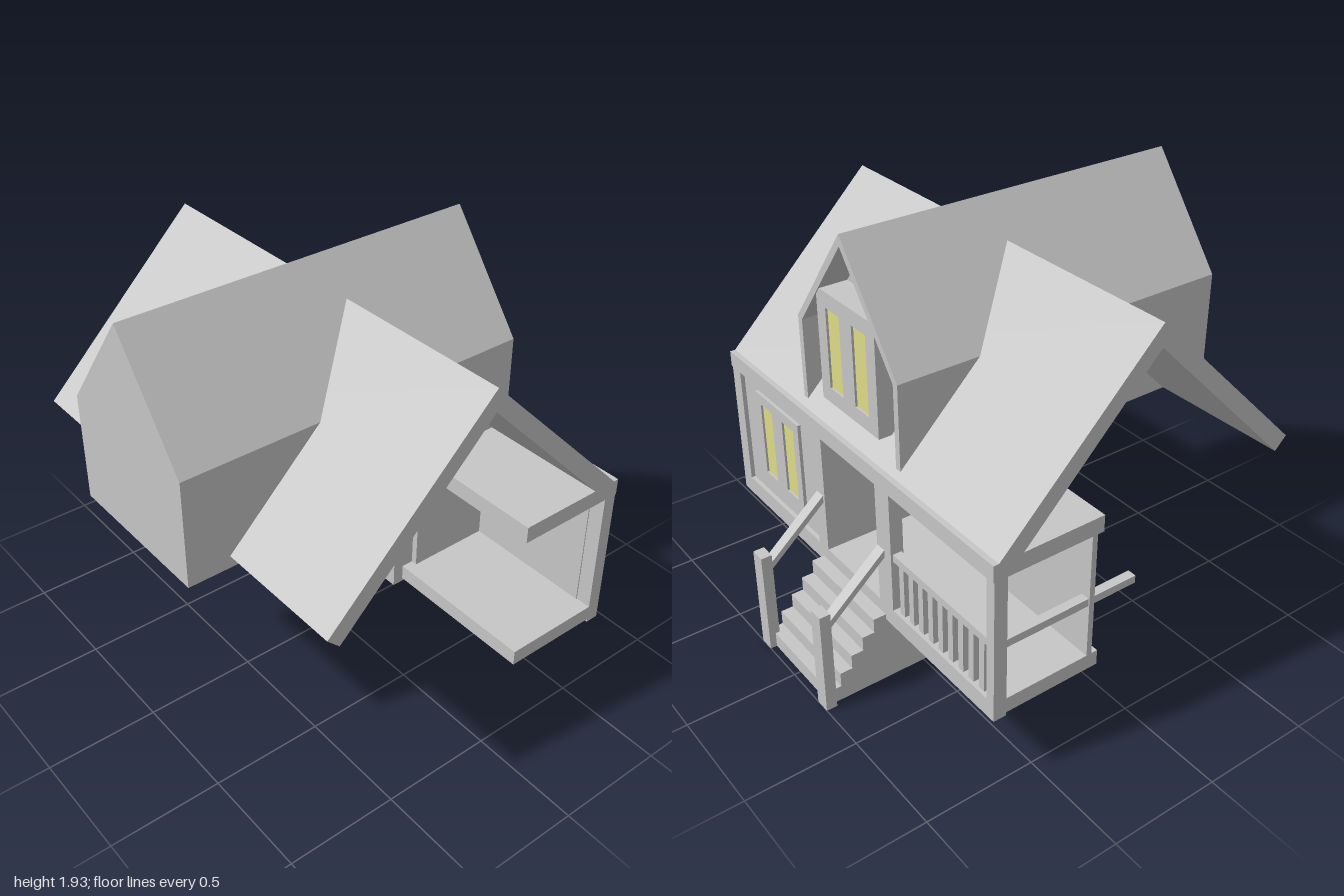
import * as THREE from 'three';

export function createModel() {
  const house = new THREE.Group();
  house.name = 'cabin';
  const plaster = new THREE.MeshStandardMaterial({ color: 0xc6c6c6 });
  plaster.name = 'pale grey';
  const glass = new THREE.MeshStandardMaterial({ color: 0xdedb88 });
  glass.name = 'window yellow';

  const add = (name, geometry, material = plaster) => {
    const mesh = new THREE.Mesh(geometry, material);
    mesh.name = name;
    house.add(mesh);
    return mesh;
  };
  // box from its min and max on each axis
  const box = (name, x0, x1, y0, y1, z0, z1, material) => {
    const g = new THREE.BoxGeometry(x1 - x0, y1 - y0, z1 - z0);
    g.translate((x0 + x1) / 2, (y0 + y1) / 2, (z0 + z1) / 2);
    return add(name, g, material);
  };
  const shapeOf = (pts) => new THREE.Shape(pts.map(([a, b]) => new THREE.Vector2(a, b)));
  // (z, y) profile extruded along x
  const alongX = (name, pts, x0, x1) => {
    const g = new THREE.ExtrudeGeometry(shapeOf(pts), { depth: x1 - x0, bevelEnabled: false });
    g.rotateY(-Math.PI / 2).translate(x1, 0, 0);
    return add(name, g);
  };
  // (x, y) shape extruded along z
  const alongZ = (name, shape, z0, z1) => {
    const g = new THREE.ExtrudeGeometry(shape, { depth: z1 - z0, bevelEnabled: false });
    g.translate(0, 0, z0);
    return add(name, g);
  };

  const L = -0.99, R = 0.985;

  // main roof: bent slab with its ridge along x
  alongX('mainRoof', [
    [0.81, 1.03], [0.06, 1.77], [-0.66, 1.05], [-0.55, 1.05], [0.06, 1.67], [0.755, 0.975],
  ], L, R);

  // cross gable: solid body with an open hood over the rear window
  const mid = 0.03;
  const pentagon = (half, base, eave, peak) => [
    [mid - half, base], [mid + half, base], [mid + half, eave], [mid, peak], [mid - half, eave],
  ];
  const outer = pentagon(0.365, 0.975, 1.455, 1.93);
  alongZ('crossGable', shapeOf(outer), -0.5, 1);
  const hood = shapeOf(outer);
  hood.holes.push(shapeOf(pentagon(0.335, 0.985, 1.445, 1.88)));
  alongZ('gableHood', hood, -0.635, -0.5);
  box('gableCollar', mid - 0.21, mid + 0.21, 1.6, 1.64, -0.62, -0.5);

  // window bay: raised frame with two panes facing the rear
  const windowBay = (name, cx, cy, halfW, halfH, zFace, zBack) => {
    const frame = shapeOf([
      [cx - halfW, cy - halfH], [cx + halfW, cy - halfH],
      [cx + halfW, cy + halfH], [cx - halfW, cy + halfH],
    ]);
    for (const s of [-1, 1]) {
      const x = cx + s * 0.095;
      frame.holes.push(shapeOf([
        [x - 0.05, cy - 0.18], [x - 0.05, cy + 0.18], [x + 0.05, cy + 0.18], [x + 0.05, cy - 0.18],
      ]));
      box(name + 'Pane', x - 0.05, x + 0.05, cy - 0.18, cy + 0.18, zFace + 0.01, zFace + 0.018, glass);
    }
    alongZ(name + 'Frame', frame, zFace, zBack);
  };
  windowBay('gableWindow', mid, 1.39, 0.21, 0.25, -0.63, -0.5);
  windowBay('roomWindow', 0.6, 0.7, 0.19, 0.23, -0.675, -0.62);

  // floor, ceiling and inner walls
  box('floor', L, R, 0.33, 0.4, -0.64, -0.17);
  box('ceiling', L, R, 0.975, 1.05, -0.64, -0.17);
  box('partition', 0.205, 0.28, 0.315, 0.975, -0.68, -0.12);
  box('partitionPanel', 0.28, 0.308, 0.4, 0.975, -0.62, -0.225);
  box('porchWall', L, 0.205, 0.4, 0.975, -0.225, -0.2);

  // rear facade: beams, posts and recessed room wall
  box('sillBeam', L, R, 0.315, 0.4, -0.68, -0.62);
  box('topBeam', L, R, 0.975, 1.05, -0.685, -0.54);
  box('roomPost', 0.915, R, 0.4, 0.975, -0.68, -0.62);
  box('doorPost', -0.31, -0.21, 0.4, 0.975, -0.68, -0.62);
  box('cornerPost', L, -0.945, 0.4, 0.975, -0.68, -0.62);
  box('roomWall', 0.28, 0.915, 0.4, 0.975, -0.66, -0.615);

  // porch railing
  box('porchRail', -0.945, -0.31, 0.645, 0.68, -0.67, -0.63);
  box('sideRail', -0.985, -0.945, 0.645, 0.68, -0.64, 0.015);
  for (let i = 0; i < 9; i++) {
    const x = -0.895 + i * 0.067;
    box('baluster', x - 0.016, x + 0.016, 0.4, 0.645, -0.665, -0.635);
  }

  // stairs: stepped profile on both its upper and lower sides
  const steps = [[-0.62, 0.34]];
  for (let i = 0; i < 5; i++) {
    const z = -0.74 - i * 0.0575, y = 0.34 - i * 0.067;
    steps.push([z, y], [z, i < 4 ? y - 0.067 : 0]);
  }
  steps.push([-0.455, 0]);
  for (let i = 0; i < 4; i++) {
    const z = -0.455 + i * 0.0575, y = (i + 1) * 0.067;
    steps.push([z, y], [z + 0.0575, y]);
  }
  steps.push([-0.225, 0.34]);
  alongX('stairs', steps, -0.25, 0.25);

  // newel posts and sloping handrails
  for (const s of [-1, 1]) {
    const x = s * 0.24 + 0.003;
    box('newelPost', x - 0.035, x + 0.035, 0, 0.49, -1, -0.95);
    alongX('handrail', [[-0.66, 0.695], [-0.97, 0.425], [-0.97, 0.39], [-0.66, 0.66]],
      x - 0.025, x + 0.025);
  }
  return house;
}
